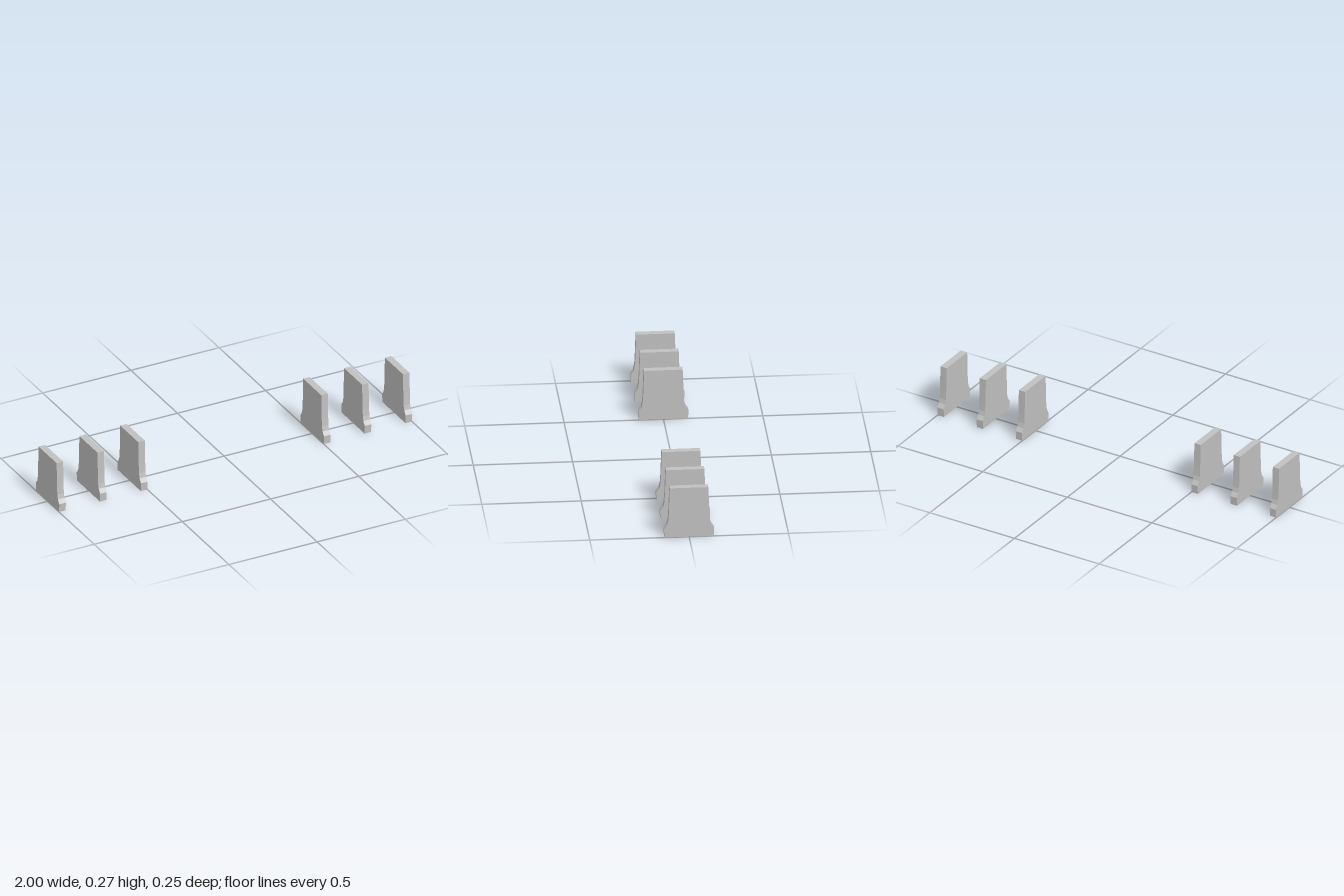
import * as THREE from 'three';

export function createModel() {
  const group = new THREE.Group();
  group.name = 'supportPanels';
  const stone = new THREE.MeshStandardMaterial({ color: 0xc0c0c0 });
  stone.name = 'light grey';

  // half outline of a panel: [half depth, height], from foot to top
  const half = [
    [0.124, 0], [0.126, 0.045], [0.111, 0.066], [0.105, 0.09],
    [0.102, 0.13], [0.1, 0.187], [0.097, 0.267],
  ];
  const outline = [
    ...half.map(([z, y]) => new THREE.Vector2(z, y)),
    ...half.map(([z, y]) => new THREE.Vector2(-z, y)).reverse(),
  ];
  const thickness = 0.037;
  const geometry = new THREE.ExtrudeGeometry(new THREE.Shape(outline), {
    depth: thickness, bevelEnabled: false,
  });
  geometry.translate(0, 0, -thickness / 2);
  geometry.rotateY(-Math.PI / 2);

  // three panels on each side
  for (const side of [-1, 1]) {
    [0.5185, 0.75, 0.9815].forEach((x, i) => {
      const panel = new THREE.Mesh(geometry, stone);
      panel.name = `${side > 0 ? 'left' : 'right'}Panel${i + 1}`;
      panel.position.x = side * x;
      group.add(panel);
    });
  }
  return group;
}
